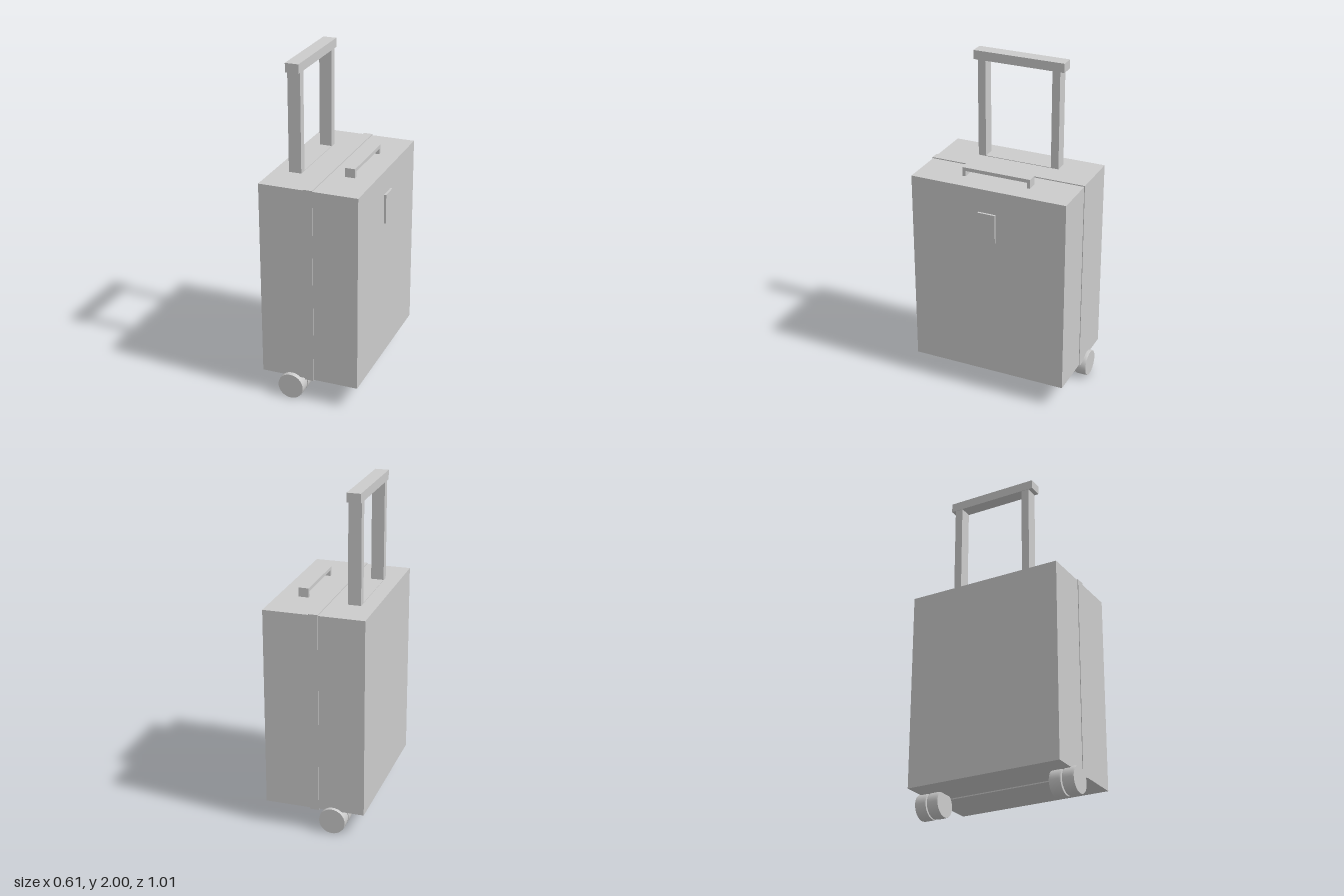
import * as THREE from 'three';

const material = new THREE.MeshStandardMaterial({ color: 0xcccccc });
const flatMaterial = new THREE.MeshStandardMaterial({ color: 0xcccccc, flatShading: true });
const Z0 = -0.003; // middle of the case in depth

// Box given by its limits on each axis
function box(name, [x0, x1], [y0, y1], [z0, z1]) {
  const mesh = new THREE.Mesh(new THREE.BoxGeometry(x1 - x0, y1 - y0, z1 - z0), flatMaterial);
  mesh.name = name;
  mesh.position.set((x0 + x1) / 2, (y0 + y1) / 2, (z0 + z1) / 2);
  return mesh;
}

// Solid wheel with flat sides and a slightly crowned tread, axis along z
function wheel(name, z) {
  const group = new THREE.Group();
  group.name = name;
  const h = 0.0355;
  const rings = [[0.078, -h], [0.08, -h + 0.012], [0.08, h - 0.012], [0.078, h]];
  const tread = new THREE.LatheGeometry(rings.map(([r, y]) => new THREE.Vector2(r, y)), 40);
  group.add(new THREE.Mesh(tread, material));
  for (const side of [-1, 1]) {
    const disc = new THREE.Mesh(new THREE.CircleGeometry(0.078, 40), material);
    disc.rotation.x = -side * Math.PI / 2;
    disc.position.y = side * h;
    group.add(disc);
  }
  group.rotation.x = Math.PI / 2;
  group.position.set(-0.12, 0.08, z);
  return group;
}

export function createModel() {
  const model = new THREE.Group();
  model.name = 'suitcase';

  // Shell and the slightly raised band around its seam
  model.add(box('shell', [-0.308, 0.292], [0.14, 1.345], [Z0 - 0.483, Z0 + 0.483]));
  model.add(box('seamBand', [-0.035, 0.02], [0.133, 1.351], [Z0 - 0.487, Z0 + 0.487]));
  model.add(box('badge', [0.29, 0.305], [1.02, 1.2], [-0.057, 0.052]));

  // Telescopic handle
  const trolley = new THREE.Group();
  trolley.name = 'trolleyHandle';
  trolley.add(box('grip', [-0.219, -0.138], [1.945, 2], [Z0 - 0.284, Z0 + 0.284]));
  trolley.add(box('basePlate', [-0.217, -0.14], [1.33, 1.348], [Z0 - 0.21, Z0 + 0.21]));
  for (const s of [-1, 1]) {
    const z = Z0 + s * 0.234;
    trolley.add(box('post', [-0.217, -0.14], [1.33, 1.95], [z - 0.024, z + 0.024]));
  }
  model.add(trolley);

  // Carry handle
  const carry = new THREE.Group();
  carry.name = 'carryHandle';
  carry.add(box('carryGrip', [0.11, 0.171], [1.379, 1.4], [Z0 - 0.213, Z0 + 0.213]));
  for (const s of [-1, 1]) {
    const z = Z0 + s * 0.203;
    carry.add(box('carryFoot', [0.11, 0.171], [1.34, 1.385], [z - 0.01, z + 0.01]));
  }
  model.add(carry);

  // Twin wheels at each end, joined by an axle
  for (const s of [-1, 1]) {
    const group = new THREE.Group();
    group.name = s > 0 ? 'frontWheels' : 'backWheels';
    group.add(wheel('outerWheel', s * 0.471), wheel('innerWheel', s * 0.391));
    const axle = new THREE.Mesh(new THREE.CylinderGeometry(0.035, 0.035, 0.06, 24), material);
    axle.name = 'axle';
    axle.rotation.x = Math.PI / 2;
    axle.position.set(-0.12, 0.08, s * 0.431);
    group.add(axle);
    group.add(box('wheelMount', [-0.145, -0.095], [0.08, 0.145], [s * 0.431 - 0.005, s * 0.431 + 0.005]));
    model.add(group);
  }
  return model;
}
